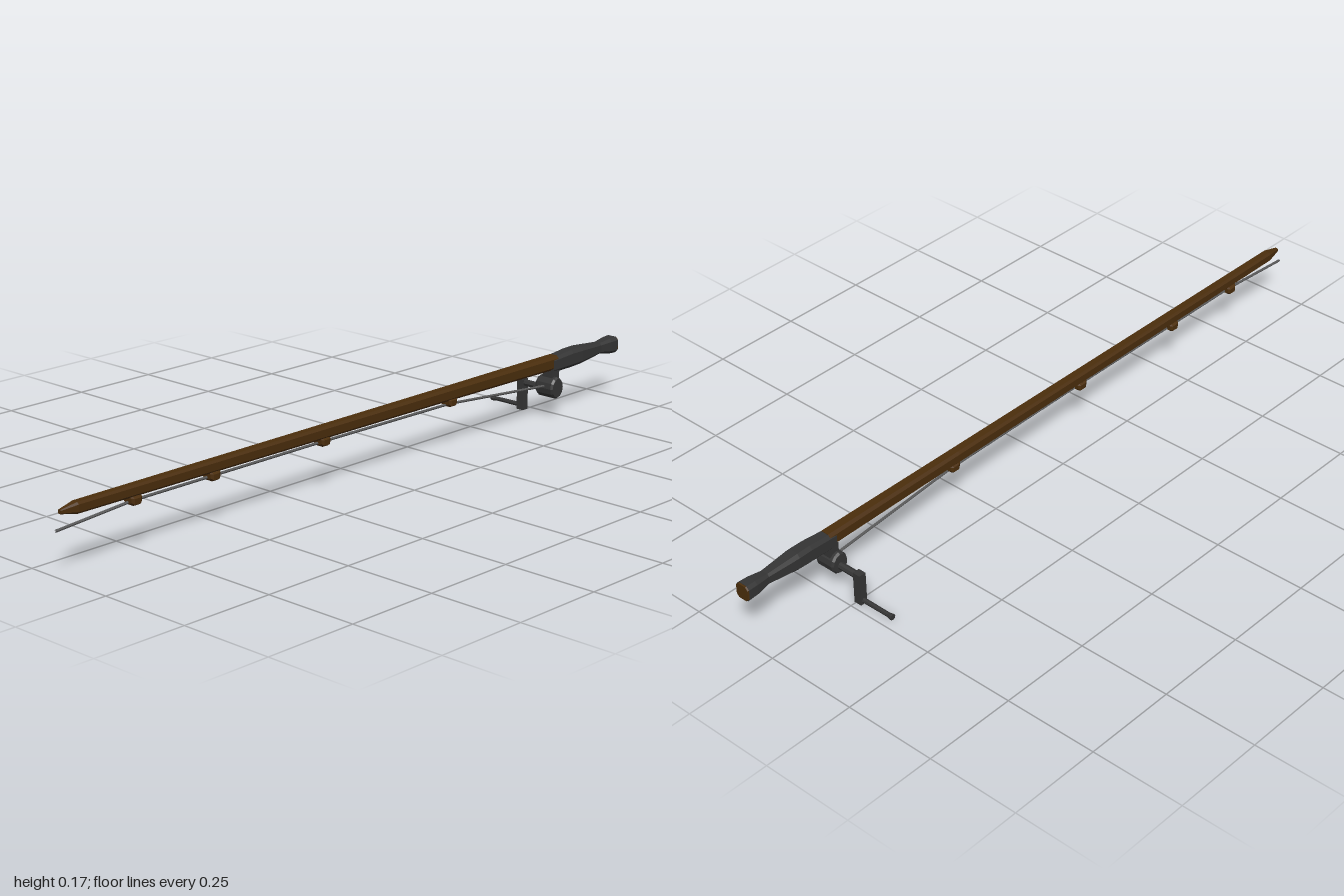
import * as THREE from 'three';

const Z = 0.085; // depth of the rod axis
const mat = (color) => new THREE.MeshStandardMaterial({ color, flatShading: true });

// Loft of bevelled-square sections along x; each section is [x, centreY, halfHeight, halfWidth]
function loft(sections, bevel = 0.62) {
  const outline = [[1, -bevel], [1, bevel], [bevel, 1], [-bevel, 1], [-1, bevel], [-1, -bevel], [-bevel, -1], [bevel, -1]];
  const n = outline.length, pos = [], index = [];
  for (const [x, cy, h, w] of sections) for (const [z, y] of outline) pos.push(x, cy + y * h, Z + z * w);
  for (let i = 0; i < sections.length - 1; i++) {
    for (let j = 0; j < n; j++) {
      const a = i * n + j, b = i * n + (j + 1) % n, c = a + n, d = b + n;
      index.push(a, c, b, b, c, d);
    }
  }
  const last = (sections.length - 1) * n;
  for (let j = 1; j < n - 1; j++) {
    index.push(0, j, j + 1);
    index.push(last, last + j + 1, last + j);
  }
  const g = new THREE.BufferGeometry();
  g.setAttribute('position', new THREE.Float32BufferAttribute(pos, 3));
  g.setIndex(index);
  g.computeVertexNormals();
  return g;
}

// Solid of revolution along z; profile is [radius, z] with z rising
function turned(profile, sides) {
  const g = new THREE.LatheGeometry(profile.map(([r, z]) => new THREE.Vector2(r, z)), sides);
  return g.rotateX(Math.PI / 2);
}

export function createModel() {
  const model = new THREE.Group();
  const wood = mat(0x4b2e0c), dark = mat(0x353535), cord = mat(0x5a5a5a);
  const add = (name, geometry, material, x = 0, y = 0, z = 0) => {
    const m = new THREE.Mesh(geometry, material);
    m.name = name;
    m.position.set(x, y, z);
    model.add(m);
    return m;
  };

  // Long tapering pole with a pointed tip
  add('pole', loft([
    [-0.985, 0.152, 0.005, 0.005], [-0.94, 0.152, 0.014, 0.013],
    [0.3, 0.151, 0.017, 0.016], [0.74, 0.15, 0.019, 0.018],
  ]), wood);

  // Swelling, waisted grip with a wooden butt cap
  add('grip', loft([
    [0.72, 0.145, 0.021, 0.019], [0.8, 0.149, 0.024, 0.021], [0.84, 0.15, 0.023, 0.022],
    [0.93, 0.151, 0.015, 0.015], [0.97, 0.15, 0.021, 0.02], [0.996, 0.15, 0.022, 0.021],
  ]), dark);
  add('buttCap', loft([[0.995, 0.15, 0.021, 0.02], [1, 0.15, 0.02, 0.019]]), wood);

  // Line guides under the pole
  [-0.77, -0.525, -0.155, 0.315].forEach((x) => {
    add('lineGuide', loft([
      [x - 0.016, 0.131, 0.008, 0.013], [x - 0.009, 0.128, 0.011, 0.017],
      [x + 0.009, 0.128, 0.011, 0.017], [x + 0.016, 0.131, 0.008, 0.013],
    ]), wood);
  });

  // Line running through the guides to the reel
  const points = [[-1, 0.11], [-0.77, 0.126], [-0.525, 0.126], [-0.155, 0.126], [0.315, 0.122], [0.715, 0.088]]
    .map(([x, y]) => new THREE.Vector3(x, y, Z));
  const path = new THREE.CurvePath();
  for (let i = 1; i < points.length; i++) path.add(new THREE.LineCurve3(points[i - 1], points[i]));
  add('line', new THREE.TubeGeometry(path, 80, 0.0035, 6), cord);

  // Reel drum, slightly flattened, and its foot
  const drum = add('reel', turned([[0, -0.03], [0.026, -0.03], [0.03, -0.024], [0.03, 0.024], [0.026, 0.03], [0, 0.03]], 12), dark, 0.724, 0.084, Z);
  drum.scale.x = 0.83;
  add('reelFoot', new THREE.BoxGeometry(0.03, 0.03, 0.034), dark, 0.73, 0.12, Z);

  // Crank: axle, arm and flared knob
  add('crankAxle', turned([[0, -0.005], [0.0095, -0.005], [0.0095, 0.06], [0, 0.06]], 8), dark, 0.724, 0.078, 0);
  add('crankArm', new THREE.BoxGeometry(0.02, 0.087, 0.022), dark, 0.724, 0.0455, -0.007);
  add('crankKnob', turned([[0, -0.113], [0.008, -0.113], [0.008, -0.109], [0.006, -0.1], [0.0065, -0.015], [0, -0.015]], 8), dark, 0.724, 0.013, 0);

  return model;
}
